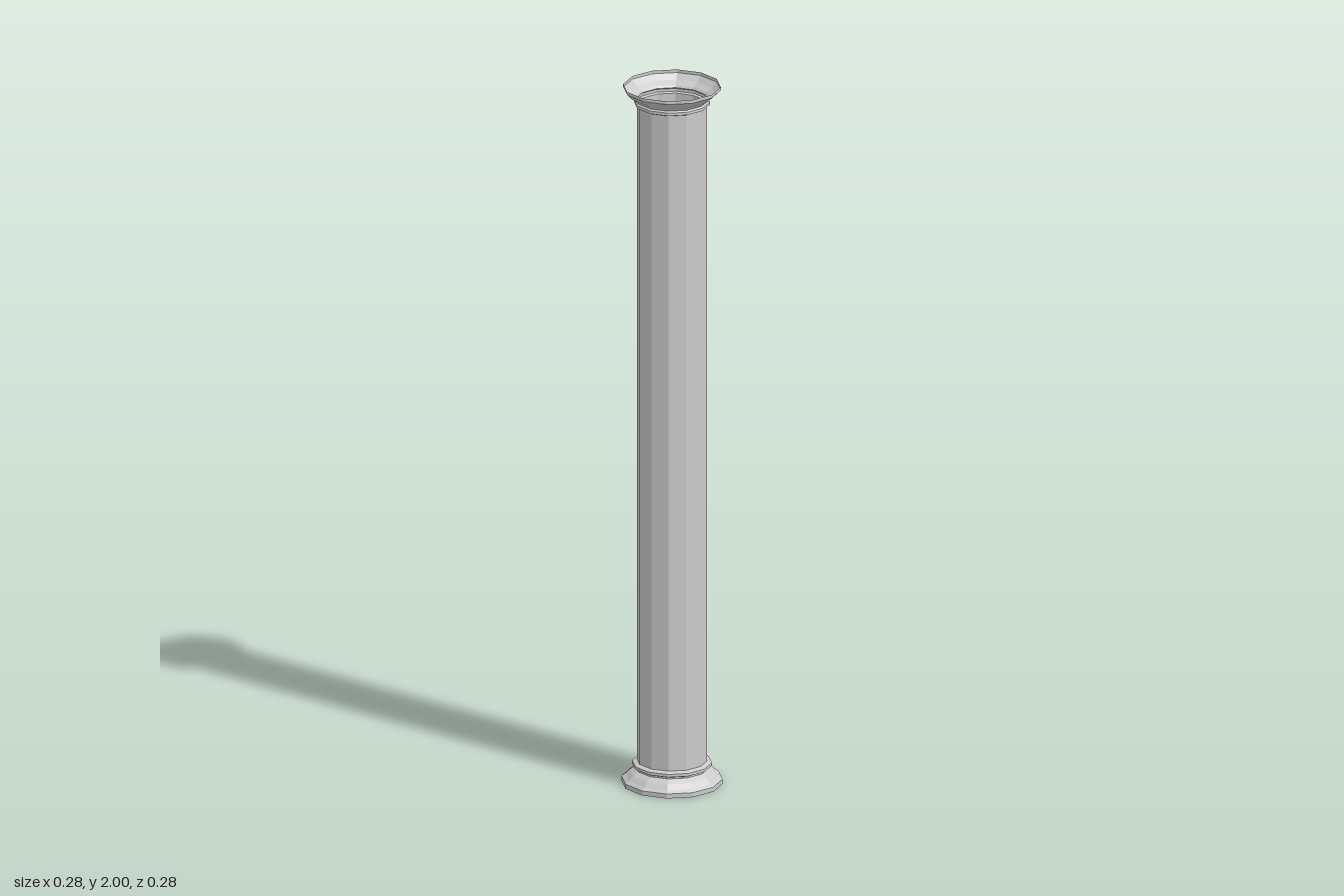
import * as THREE from 'three';

const SIDES = 12;

export function createModel() {
  const group = new THREE.Group();
  const material = new THREE.MeshStandardMaterial({
    color: 0xcccccc, flatShading: true, side: THREE.DoubleSide,
  });

  // Revolve a [radius, height] profile into an open twelve-sided shell
  const addTurned = (name, profile) => {
    const points = profile.map(([r, y]) => new THREE.Vector2(r, y));
    const mesh = new THREE.Mesh(new THREE.LatheGeometry(points, SIDES), material);
    mesh.name = name;
    group.add(mesh);
  };

  // Flared foot with a narrow neck and a rounded ring
  addTurned('base', [
    [0.138, 0], [0.138, 0.013], [0.128, 0.02], [0.115, 0.033], [0.1, 0.043],
    [0.1, 0.047], [0.109, 0.051], [0.109, 0.059], [0.096, 0.064],
  ]);

  // Hollow straight shaft
  addTurned('shaft', [[0.096, 0.064], [0.096, 1.945]]);

  // Thin ring and flared, open capital
  addTurned('capital', [
    [0.096, 1.945], [0.103, 1.948], [0.103, 1.956], [0.098, 1.96],
    [0.103, 1.966], [0.118, 1.976], [0.128, 1.986], [0.133, 1.991], [0.133, 2],
  ]);

  return group;
}
